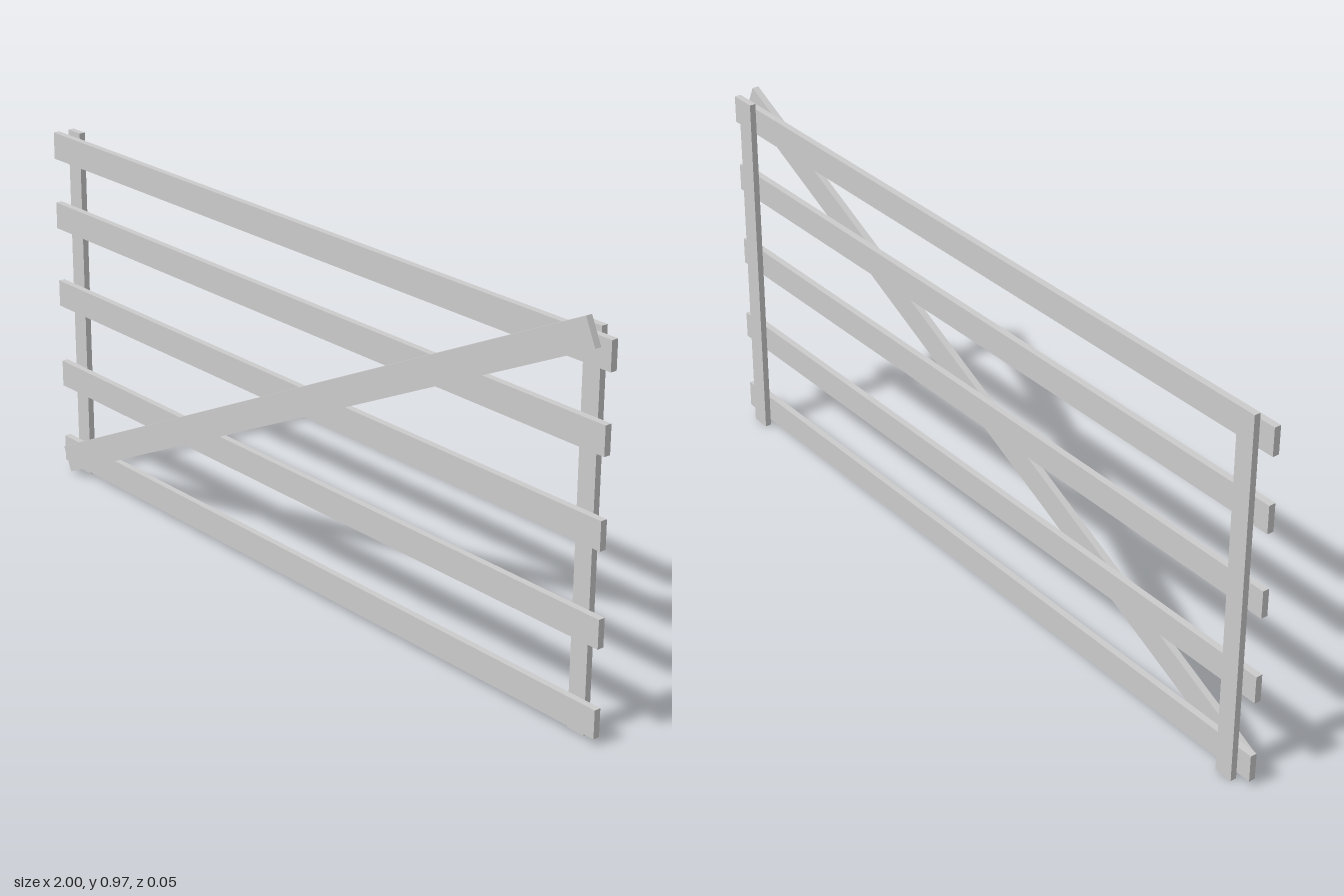
import * as THREE from 'three';

export function createModel() {
  const gate = new THREE.Group();
  gate.name = 'gate';
  const material = new THREE.MeshStandardMaterial({ color: 0xcccccc, flatShading: true });

  const plank = (name, length, height, depth, x, y, z, angle = 0) => {
    const mesh = new THREE.Mesh(new THREE.BoxGeometry(length, height, depth), material);
    mesh.name = name;
    mesh.position.set(x, y, z);
    mesh.rotation.z = angle;
    gate.add(mesh);
  };

  // Horizontal rails, two of them cut slightly short: [centre height, left end, right end]
  const rails = [
    [0.053, -0.998, 1], [0.268, -0.998, 1], [0.493, -1, 0.993], [0.707, -1, 0.993], [0.895, -1, 1],
  ];
  rails.forEach(([y, x0, x1], i) =>
    plank(`rail${i + 1}`, x1 - x0, 0.07, 0.017, (x0 + x1) / 2, y, 0.0005));

  // Upright posts behind the rails
  plank('rightPost', 0.05, 0.943, 0.016, -0.932, 0.4725, -0.016);
  plank('leftPost', 0.05, 0.943, 0.016, 0.929, 0.4725, -0.016);

  // Diagonal brace across the front
  plank('brace', 2.122, 0.07, 0.017, -0.0045, 0.4865, 0.0175, Math.atan2(0.903, 1.92));

  return gate;
}
